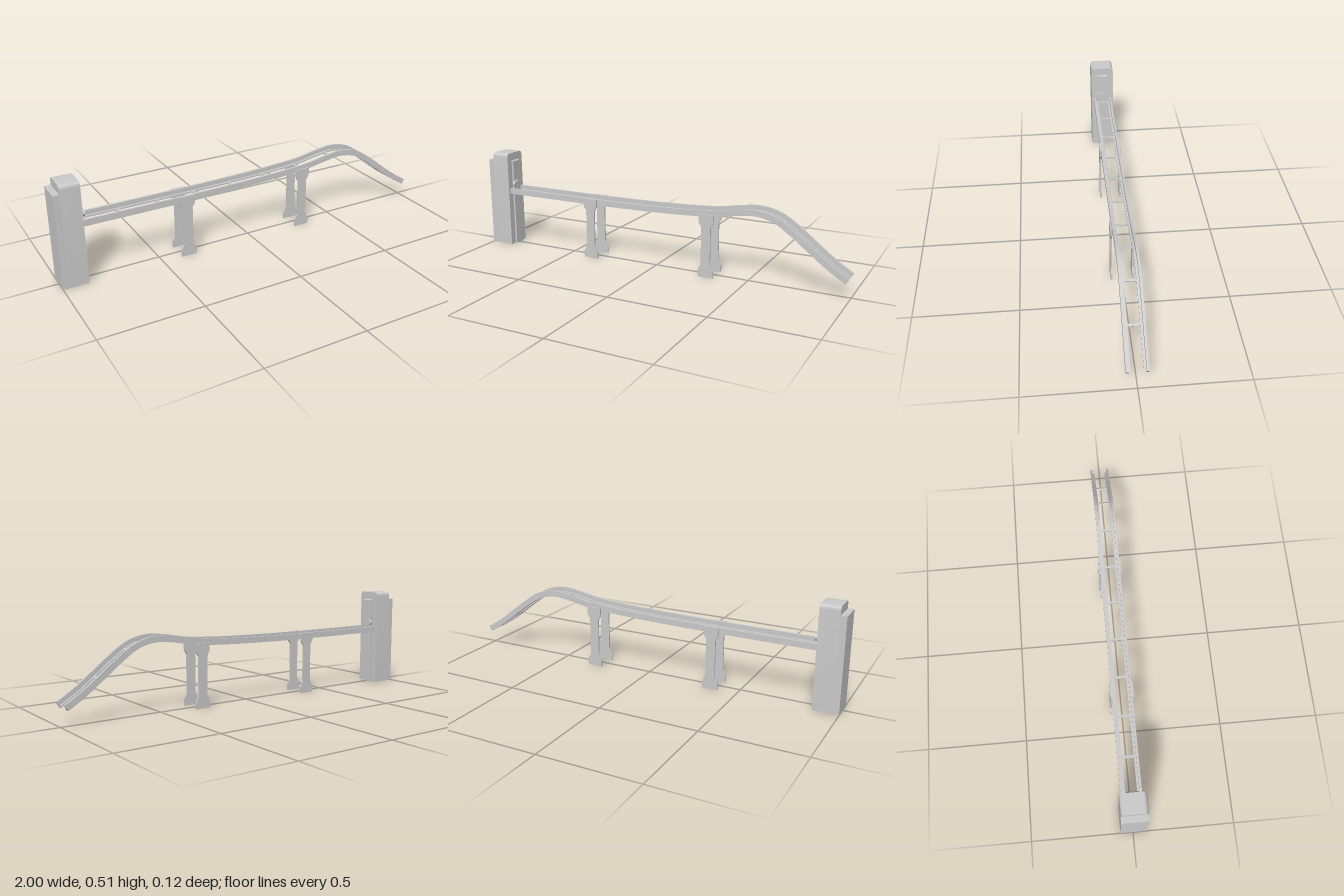
import * as THREE from 'three';
import { toCreasedNormals } from 'three/addons/utils/BufferGeometryUtils.js';

const grey = new THREE.MeshStandardMaterial({ color: 0xcccccc });

// Centre line of the track, seen from the front
const path = new THREE.CatmullRomCurve3([
  [-0.875, 0.303], [-0.6, 0.303], [-0.3, 0.304], [0, 0.309], [0.2, 0.317], [0.33, 0.327],
  [0.44, 0.346], [0.54, 0.356], [0.635, 0.336], [0.72, 0.284], [0.825, 0.204], [0.91, 0.141], [0.989, 0.092],
].map(([x, y]) => new THREE.Vector3(x, y, 0)), false, 'centripetal');

function frameAt(t) {
  const p = path.getPointAt(t), d = path.getTangentAt(t);
  return { p, n: new THREE.Vector2(-d.y, d.x), angle: Math.atan2(d.y, d.x) };
}

function frameAtX(x) {
  let lo = 0, hi = 1;
  for (let i = 0; i < 24; i++) {
    const mid = (lo + hi) / 2;
    if (path.getPointAt(mid).x < x) lo = mid; else hi = mid;
  }
  return frameAt(lo);
}

function add(parent, name, geometry, x = 0, y = 0, z = 0) {
  const mesh = new THREE.Mesh(geometry, grey);
  mesh.name = name;
  mesh.position.set(x, y, z);
  parent.add(mesh);
  return mesh;
}

// Strip following the track between two offsets, with a given width in z
function trackStrip(low, high, width) {
  const top = [], bottom = [], steps = 90;
  for (let i = 0; i <= steps; i++) {
    const { p, n } = frameAt(i / steps);
    bottom.push(new THREE.Vector2(p.x + n.x * low, p.y + n.y * low));
    top.push(new THREE.Vector2(p.x + n.x * high, p.y + n.y * high));
  }
  const shape = new THREE.Shape([...bottom, ...top.reverse()]);
  const geometry = new THREE.ExtrudeGeometry(shape, { depth: width, bevelEnabled: false });
  return toCreasedNormals(geometry, 0.5);
}

// Upright slab with rounded top corners, extruded along x
function roundedSlab(halfWidth, height, radius, depth) {
  const s = new THREE.Shape();
  s.moveTo(-halfWidth, 0);
  s.lineTo(halfWidth, 0);
  s.lineTo(halfWidth, height - radius * 1.8);
  s.quadraticCurveTo(halfWidth, height, halfWidth - radius, height);
  s.lineTo(-halfWidth + radius, height);
  s.quadraticCurveTo(-halfWidth, height, -halfWidth, height - radius * 1.8);
  const g = new THREE.ExtrudeGeometry(s, { depth, bevelEnabled: false, curveSegments: 8 });
  return toCreasedNormals(g.rotateY(Math.PI / 2), 0.6);
}

function createTower() {
  const tower = new THREE.Group();
  tower.name = 'tower';
  add(tower, 'towerBody', roundedSlab(0.062, 0.51, 0.015, 0.095), -0.97);
  add(tower, 'towerBack', new THREE.BoxGeometry(0.03, 0.47, 0.124), -0.985, 0.235);
  // Raised guide strip with a bevelled top
  const guide = new THREE.Shape([[-0.88, 0], [-0.865, 0], [-0.865, 0.464], [-0.87, 0.47], [-0.88, 0.47]]
    .map(([x, y]) => new THREE.Vector2(x, y)));
  add(tower, 'guideStrip', new THREE.ExtrudeGeometry(guide, { depth: 0.056, bevelEnabled: false }), 0, 0, -0.028);
  // Rounded launcher pad at the head of the track
  const pad = new THREE.CylinderGeometry(0.019, 0.019, 0.012, 24).rotateZ(Math.PI / 2);
  pad.scale(1, 1, 1.85);
  add(tower, 'launcherPad', pad, -0.862, 0.339);
  return tower;
}

function createSupport() {
  const half = [[0.04, 0], [0.04, 0.035], [0.024, 0.066], [0.024, 0.255], [0.038, 0.278], [0.038, 0.319]];
  const outline = [...half, ...half.map(([x, y]) => [-x, y]).reverse()];
  const shape = new THREE.Shape(outline.map(([x, y]) => new THREE.Vector2(x, y)));
  return new THREE.ExtrudeGeometry(shape, { depth: 0.008, bevelEnabled: false });
}

export function createModel() {
  const model = new THREE.Group();
  model.name = 'launchTrack';
  model.add(createTower());

  // L-shaped rails: tall outer wall and low inner ledge
  const wall = trackStrip(-0.015, 0.015, 0.011);
  const ledge = trackStrip(-0.015, -0.007, 0.011);
  const support = createSupport();
  for (const [side, s] of [['left', 1], ['right', -1]]) {
    const rail = new THREE.Group();
    rail.name = side + 'Rail';
    add(rail, 'railWall', wall, 0, 0, s > 0 ? 0.039 : -0.05);
    add(rail, 'railLedge', ledge, 0, 0, s > 0 ? 0.028 : -0.039);
    model.add(rail);
    // Flat support legs against the outside of each rail
    for (const x of [-0.36, 0.295]) add(model, side + 'Support', support, x, 0, s > 0 ? 0.049 : -0.057);
  }

  // Cross ties between the rails
  const tie = new THREE.BoxGeometry(0.012, 0.008, 0.058);
  for (const x of [-0.863, -0.68, -0.485, -0.29, -0.095, 0.1, 0.292, 0.485, 0.67, 0.825]) {
    const { p, n, angle } = frameAtX(x);
    add(model, 'crossTie', tie, p.x - n.x * 0.011, p.y - n.y * 0.011).rotation.z = angle;
  }
  return model;
}
